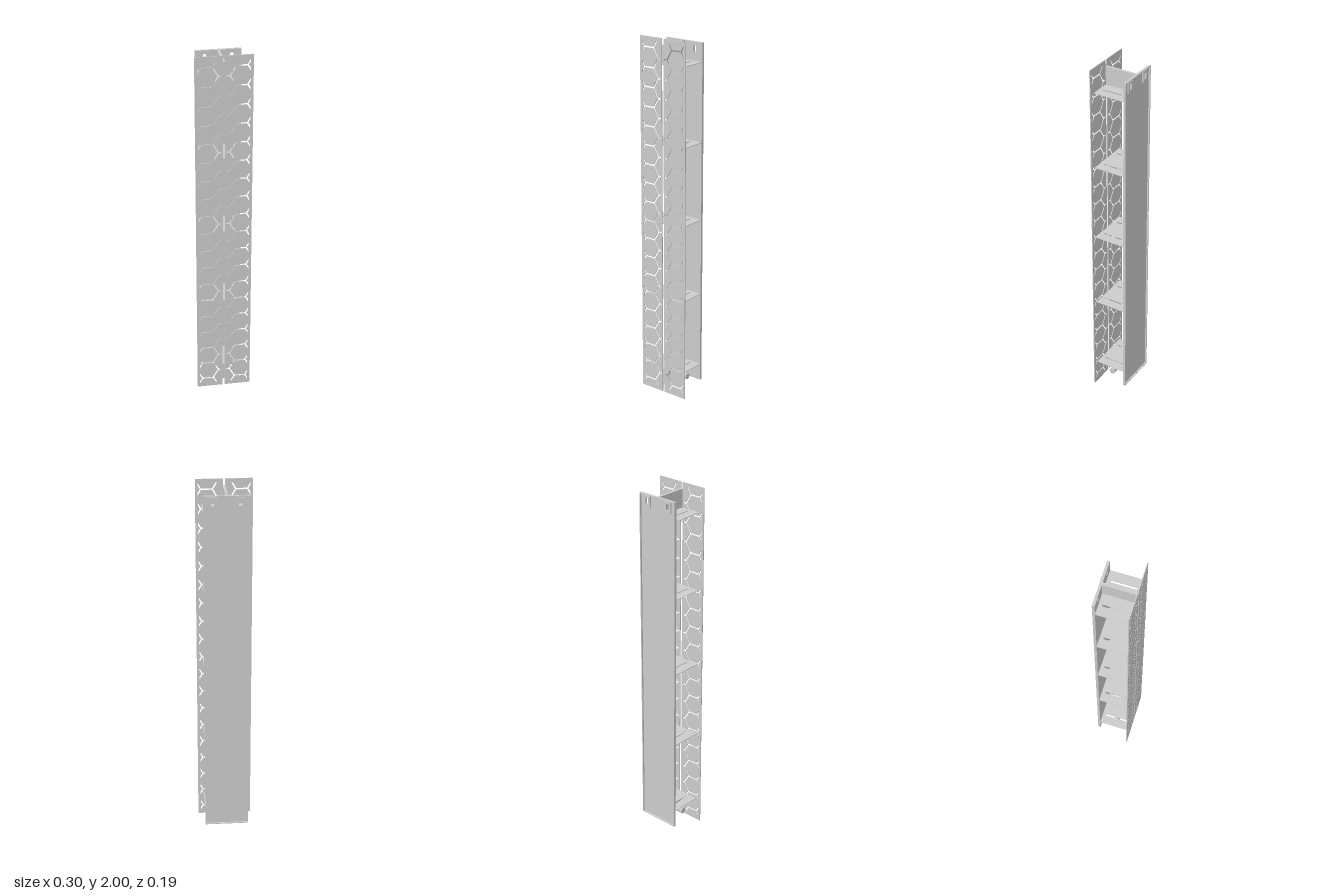
import * as THREE from 'three';

const material = new THREE.MeshStandardMaterial({ color: 0xcccccc });
const R3 = Math.sqrt(3);

function add(parent, name, geometry, x = 0, y = 0, z = 0) {
  const mesh = new THREE.Mesh(geometry, material);
  mesh.name = name;
  mesh.position.set(x, y, z);
  parent.add(mesh);
  return mesh;
}

const points = (list) => list.map(([x, y]) => new THREE.Vector2(x, y));
const rect = (x0, y0, x1, y1) => points([[x0, y0], [x1, y0], [x1, y1], [x0, y1]]);

// Flat plate with cut-outs, extruded along +z
function plate(outline, holes, depth) {
  const shape = new THREE.Shape(outline);
  for (const hole of holes) shape.holes.push(new THREE.Path(hole));
  return new THREE.ExtrudeGeometry(shape, { depth, bevelEnabled: false });
}

// Outline of one connected honeycomb slot running up a front panel
function honeycombSlot() {
  const pitch = 0.105, half = 0.004, rows = 19;
  const side = pitch / R3;             // cell edge length
  const s = side - (2 * half) / R3;    // cell edge after the slot is taken off
  const a = pitch / 2 - half;          // matching half height
  const inner = 0.012, outer = 0.136;  // where the slot stops short of the edges
  const reach = 0.034;                 // slot beyond the first and last row
  const cx = 1.5 * side;
  const rowY = (k) => 1 + (k - (rows - 1) / 2) * pitch;
  const top = rowY(rows - 1) + reach, bottom = rowY(0) - reach;
  const prong = a - R3 * (outer - cx - s / 2);
  const fork = 3 * side - s;
  const endX = cx - s / 2 - (reach - half) / R3;
  const list = [[endX, top]];

  // outer side, walking down past the forked arms
  for (let k = rows - 1; k >= 0; k--) {
    const y = rowY(k), above = y + pitch / 2, below = y - pitch / 2;
    const spread = R3 * (outer - fork);
    list.push(
      [cx - s / 2, above - a], [cx + s / 2, above - a], [outer, above - prong],
      [outer, y + spread], [fork, y], [outer, y - spread],
      [outer, below + prong], [cx + s / 2, below + a], [cx - s / 2, below + a]);
    if (k > 0) list.push([cx - s, below]);
  }
  list.push([endX, bottom], [s - reach / R3, bottom]);

  // inner side, walking back up past the short stubs
  for (let k = 0; k < rows; k++) {
    const y = rowY(k);
    if (k > 0) list.push([inner, y - a], [s / 2, y - a]);
    list.push([s, y]);
    if (k < rows - 1) list.push([s / 2, y + a], [inner, y + a]);
  }
  list.push([s - reach / R3, top]);
  return list;
}

export function createModel() {
  const group = new THREE.Group();
  const slot = honeycombSlot();

  // Pair of slotted front panels
  for (const side of [1, -1]) {
    const geometry = plate(
      rect(side * 0.006, 0, side * 0.15, 2),
      [points(slot.map(([x, y]) => [side * x, y]))], 0.005);
    add(group, side > 0 ? 'frontPanelLeft' : 'frontPanelRight', geometry, 0, 0, 0.091);
  }

  // Back tray: thin floor with hanging holes, and a rim open to the back
  const back = new THREE.Group();
  back.name = 'backTray';
  group.add(back);
  const y0 = 0.04, y1 = 1.965;
  const hanger = (x) => rect(x - 0.009, 1.912, x + 0.009, 1.945);
  add(back, 'backFloor',
    plate(rect(-0.12, y0, 0.12, y1), [hanger(-0.07), hanger(0.07)], 0.005), 0, 0, -0.087);
  add(back, 'backRim',
    plate(rect(-0.12, y0, 0.12, y1), [rect(-0.115, y0 + 0.005, 0.115, y1 - 0.005)], 0.009),
    0, 0, -0.096);
  for (const x of [-0.07, 0.07]) {
    add(back, 'hangerBracket',
      plate(rect(x - 0.021, 1.898, x + 0.021, 1.956), [hanger(x)], 0.008), 0, 0, -0.095);
  }

  // Thin shelves with a long slot on each side
  const slots = [-0.065, 0.065].map((x) => rect(x - 0.0045, -0.07, x + 0.0045, 0.062));
  const shelf = plate(rect(-0.12, -0.091, 0.12, 0.082), slots, 0.003);
  shelf.rotateX(-Math.PI / 2);
  for (const y of [0.138, 0.566, 0.999, 1.432, 1.862]) add(group, 'shelf', shelf, 0, y, 0);

  // Upright webs below the lowest shelf and above the highest
  const web = new THREE.BoxGeometry(0.014, 0.1, 0.173);
  add(group, 'lowerWeb', web, 0, 0.09, 0.0045);
  add(group, 'upperWeb', web, 0, 1.915, 0.0045);

  // Cross bar through the lower web
  const bar = new THREE.CylinderGeometry(0.017, 0.017, 0.2, 32);
  bar.rotateZ(Math.PI / 2);
  add(group, 'crossBar', bar, 0, 0.09, 0.005);

  return group;
}
